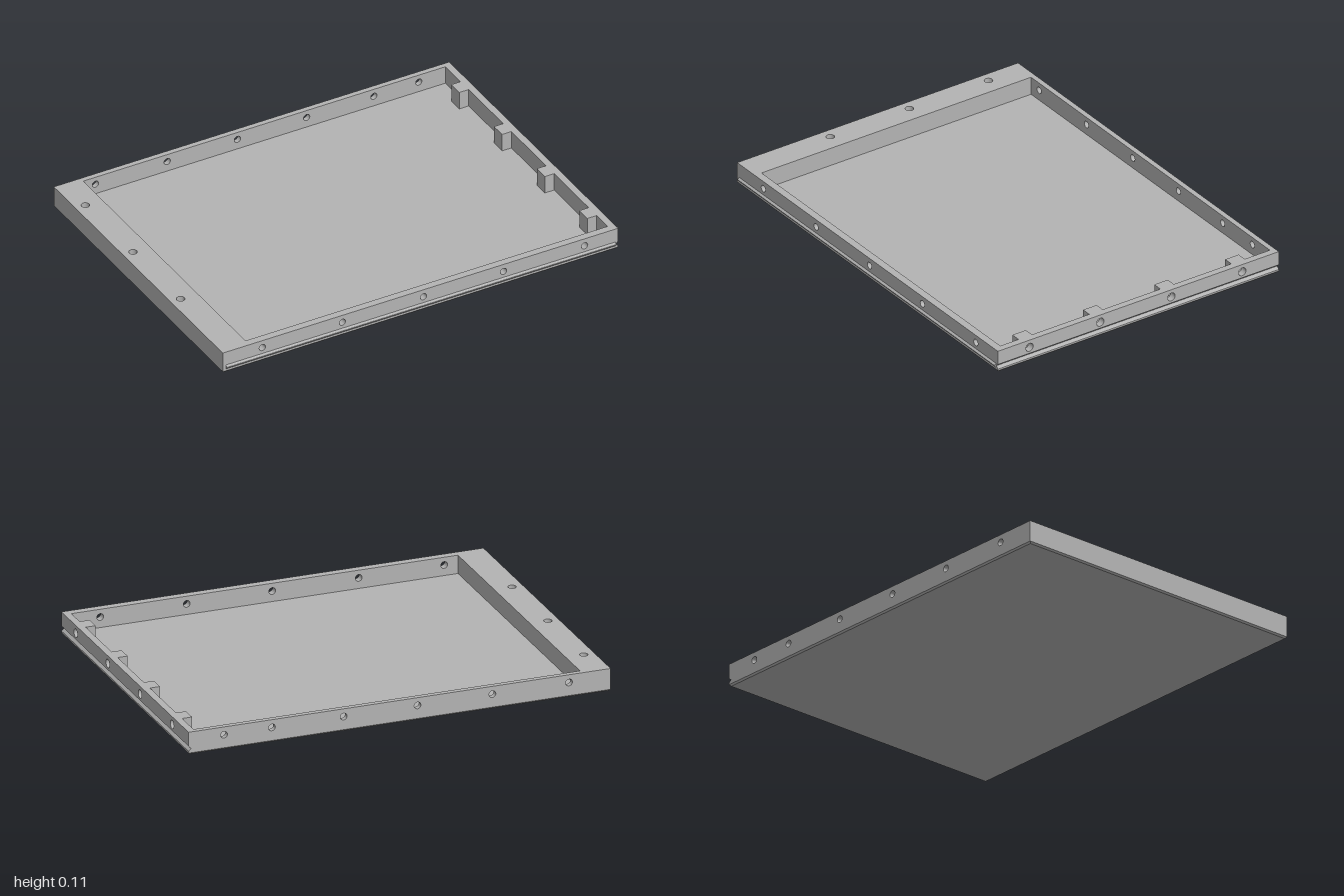
import * as THREE from 'three';

const TOP = 0.107, SEAM = 0.045, FLOOR = 0.02, HOLE_Y = 0.07;
const OUT = { x0: -1, x1: 1, z0: -0.759, z1: 0.75 };
const IN = { x0: -0.865, x1: 0.967, z0: -0.734, z1: 0.714 };

// Rectangle with round holes, extruded along +z from 0 to depth
function plate(u0, u1, v0, v1, depth, holes = [], radius = 0.016) {
  const s = new THREE.Shape();
  s.moveTo(u0, v0).lineTo(u1, v0).lineTo(u1, v1).lineTo(u0, v1).closePath();
  for (const [u, v] of holes) {
    const h = new THREE.Path();
    h.absarc(u, v, radius, 0, Math.PI * 2, true);
    s.holes.push(h);
  }
  return new THREE.ExtrudeGeometry(s, { depth, bevelEnabled: false, curveSegments: 12 });
}

// Flat-sided skin through rectangles [x0, x1, z0, z1, y], capped at both ends
function loft(rects) {
  const rings = rects.map(([x0, x1, z0, z1, y]) =>
    [[x0, y, z1], [x1, y, z1], [x1, y, z0], [x0, y, z0]]);
  const pos = [];
  const quad = (a, b, c, d) => pos.push(...a, ...b, ...c, ...a, ...c, ...d);
  for (let k = 0; k + 1 < rings.length; k++) {
    for (let i = 0; i < 4; i++) {
      const j = (i + 1) % 4;
      quad(rings[k][i], rings[k][j], rings[k + 1][j], rings[k + 1][i]);
    }
  }
  quad(...[...rings[0]].reverse());
  quad(...rings[rings.length - 1]);
  const g = new THREE.BufferGeometry();
  g.setAttribute('position', new THREE.Float32BufferAttribute(pos, 3));
  g.computeVertexNormals();
  return g;
}

export function createModel() {
  const group = new THREE.Group();
  const grey = new THREE.MeshStandardMaterial({ color: 0xb3b3b3 });
  grey.name = 'panelGrey';
  const add = (name, geometry) => {
    const m = new THREE.Mesh(geometry, grey);
    m.name = name;
    group.add(m);
    return m;
  };

  // Base tray: chamfered bottom, V groove on the right-hand side, sunken floor
  const { x0, x1, z0, z1 } = OUT;
  const c = 0.007;
  add('baseTray', loft([
    [x0 + c, x1 - c, z0 + c, z1 - c, 0],
    [x0, x1, z0, z1, 0.008],
    [x0, x1, z0, z1, 0.016],
    [x0, x1 - 0.012, z0, z1, 0.028],
    [x0, x1, z0, z1, 0.04],
    [x0, x1, z0, z1, SEAM],
    [IN.x0, IN.x1, IN.z0, IN.z1, SEAM],
    [IN.x0, IN.x1, IN.z0, IN.z1, FLOOR],
  ]));

  // V tongue along the front
  const v = new THREE.Shape();
  v.moveTo(0, 0.018).lineTo(0.009, 0.027).lineTo(0.009, 0.031).lineTo(0, 0.039).closePath();
  const tongue = new THREE.ExtrudeGeometry(v, { depth: 1.97, bevelEnabled: false });
  tongue.rotateY(-Math.PI / 2);
  add('frontTongue', tongue).position.set(0.985, 0, z1);

  // Front and back walls with through holes
  const row = (xs) => xs.map((x) => [x, HOLE_Y]);
  add('frontWall', plate(x0, x1, SEAM, TOP, z1 - IN.z1,
    row([-0.8, -0.395, 0.015, 0.42, 0.83]))).position.z = IN.z1;
  add('backWall', plate(x0, x1, SEAM, TOP, IN.z0 - z0,
    row([-0.803, -0.44, -0.085, 0.265, 0.605, 0.832]))).position.z = z0;

  // Side wall with counterbored holes, each backed by an inner boss
  const bossZ = [-0.563, -0.182, 0.2, 0.58];
  const sideWall = plate(-IN.z1, -IN.z0, SEAM, TOP, x1 - IN.x1, row(bossZ.map((z) => -z)), 0.02);
  sideWall.rotateY(Math.PI / 2);
  add('leftWall', sideWall).position.x = IN.x1;
  for (const z of bossZ) {
    const boss = plate(-0.036, 0.036, FLOOR, TOP, 0.03, row([0]), 0.014);
    boss.rotateY(Math.PI / 2);
    add('boss', boss).position.set(IN.x1 - 0.03, 0, z);
    add('bossBack', new THREE.BoxGeometry(0.017, TOP - FLOOR, 0.072))
      .position.set(IN.x1 - 0.0385, (TOP + FLOOR) / 2, z);
  }

  // Wide rail with three blind holes in its top
  const rail = plate(x0, IN.x0, -IN.z1, -IN.z0, TOP - SEAM,
    [-0.565, -0.14, 0.285].map((z) => [-0.95, -z]), 0.019);
  rail.rotateX(-Math.PI / 2);
  add('wideRail', rail).position.y = SEAM;

  return group;
}
